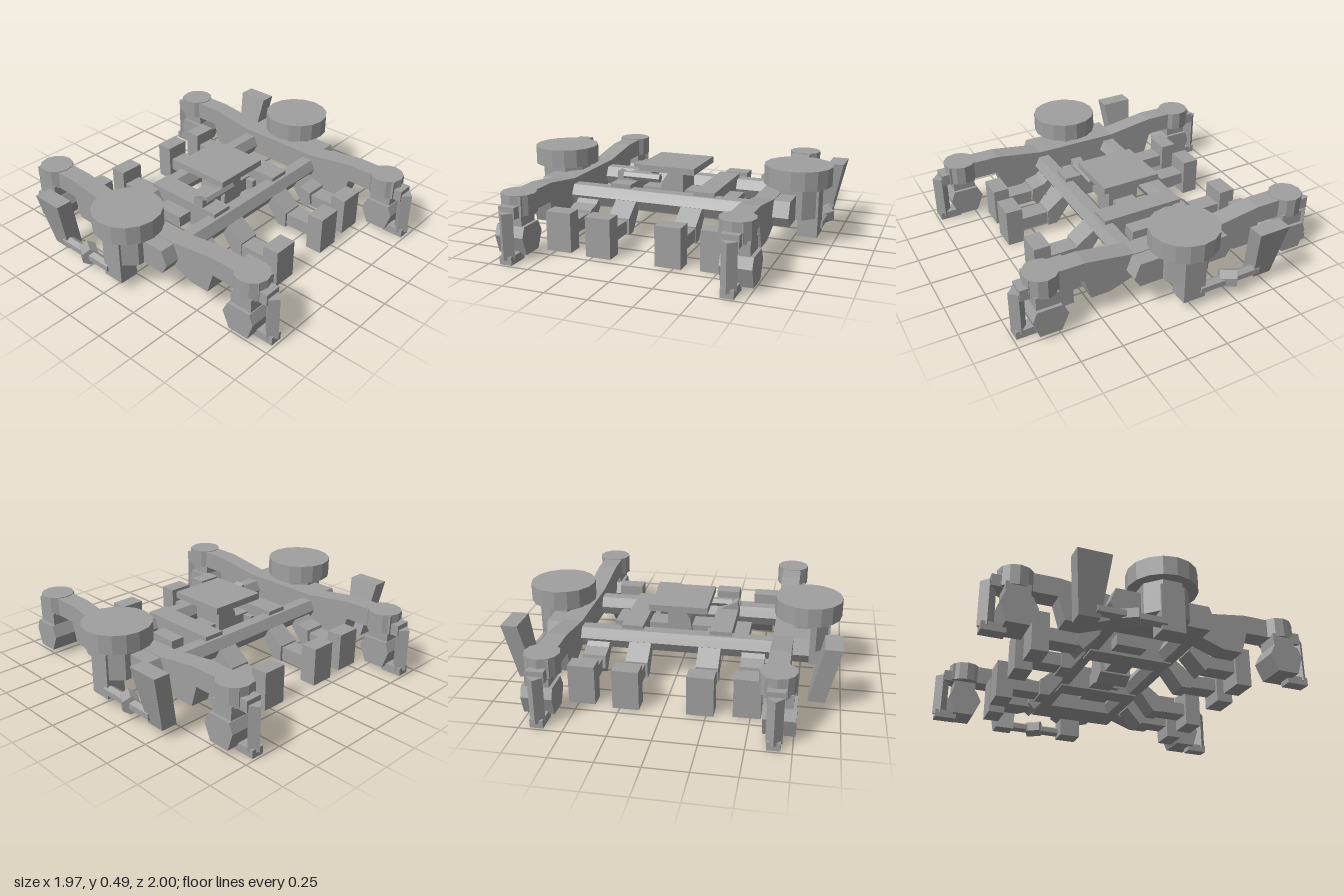
import * as THREE from 'three';

export function createModel() {
  const model = new THREE.Group();
  const castGrey = new THREE.MeshStandardMaterial({ color: 0xa0a0a0 });

  const add = (name, geo) => {
    const flat = geo.index ? geo.toNonIndexed() : geo;
    flat.computeVertexNormals();
    const mesh = new THREE.Mesh(flat, castGrey);
    mesh.name = name;
    model.add(mesh);
    return mesh;
  };
  // Box given by its limits on each axis
  const box = (name, x0, x1, y0, y1, z0, z1) => {
    const geo = new THREE.BoxGeometry(Math.abs(x1 - x0), y1 - y0, Math.abs(z1 - z0));
    return add(name, geo.translate((x0 + x1) / 2, (y0 + y1) / 2, (z0 + z1) / 2));
  };
  // Side profile of [z, y] points, extruded across x
  const profile = (name, points, x0, x1, sz = 1) => {
    const shape = new THREE.Shape(points.map(([z, y]) => new THREE.Vector2(z * sz, y)));
    const geo = new THREE.ExtrudeGeometry(shape, { depth: Math.abs(x1 - x0), bevelEnabled: false });
    return add(name, geo.rotateY(-Math.PI / 2).translate(Math.max(x0, x1), 0, 0));
  };
  // Upright faceted drum
  const drum = (name, x, z, radius, y0, y1, sides, turn = 0) => {
    const geo = new THREE.CylinderGeometry(radius, radius, y1 - y0, sides).rotateY(turn);
    return add(name, geo.translate(x, (y0 + y1) / 2, z));
  };

  // Side frame outline: raised ends, dropped shoulders and a low middle
  const half = [[0.9, 0.265], [0.9, 0.38], [0.57, 0.38], [0.27, 0.335]];
  const under = [[0.28, 0.18], [0.42, 0.13], [0.54, 0.13], [0.58, 0.265]];
  const flip = (pts) => pts.map(([z, y]) => [-z, y]).reverse();
  const frame = [...half, ...flip(half), ...flip(under), ...under];

  for (const sx of [-1, 1]) {
    profile('sideFrame', frame, sx * 0.585, sx * 0.705);
    // Outer saddle carrying the spring
    profile('springSaddle', [[0.32, 0.24], [0.285, 0.33], [-0.285, 0.33], [-0.32, 0.24],
      [-0.285, 0.18], [0.285, 0.18]], sx * 0.7, sx * 0.8);
    drum('springSeat', sx * 0.78, 0, 0.15, 0.18, 0.38, 8, Math.PI / 8);
    drum('airSpring', sx * 0.78, 0, 0.205, 0.37, 0.485, 16);
    box('springStop', sx * 0.8, sx * 0.92, 0.06, 0.34, -0.07, 0.07);

    // Damper lying along the outside, with its leaning bracket
    const rod = new THREE.CylinderGeometry(0.034, 0.034, 0.4, 6).rotateX(Math.PI / 2);
    add('damperRod', rod.translate(sx * 0.9, 0.11, -0.24));
    const sleeve = new THREE.CylinderGeometry(0.055, 0.055, 0.1, 6).rotateZ(Math.PI / 6).rotateX(Math.PI / 2);
    add('damperSleeve', sleeve.translate(sx * 0.895, 0.11, -0.24));
    const bracket = new THREE.BoxGeometry(0.1, 0.35, 0.2);
    const pos = bracket.attributes.position;
    for (let i = 0; i < pos.count; i++) {
      const top = pos.getY(i) > 0;
      pos.setX(i, pos.getX(i) + sx * (top ? 0.935 : 0.86));
      pos.setZ(i, pos.getZ(i) * (top ? 1 : 0.6));
    }
    add('damperBracket', bracket.translate(0, 0.235, -0.475));

    for (const sz of [-1, 1]) {
      // Axle box under each frame end
      drum('frameEnd', sx * 0.65, sz * 0.81, 0.103, 0.265, 0.385, 12);
      profile('axleBox', [[0.91, 0.14], [0.885, 0.2], [0.735, 0.2], [0.7, 0.13],
        [0.745, 0.03], [0.875, 0.03]], sx * 0.58, sx * 0.76, sz);
      box('axleBoxSpring', sx * 0.6, sx * 0.74, 0.19, 0.28, sz * 0.74, sz * 0.88);
      // Hanging guard at the outer end
      box('guardMount', sx * 0.6, sx * 0.7, 0.26, 0.33, sz * 0.89, sz * 0.95);
      const post = new THREE.CylinderGeometry(0.045, 0.045, 0.27, 4);
      add('guardPost', post.translate(sx * 0.65, 0.165, sz * 0.955));
      box('guardFoot', sx * 0.612, sx * 0.688, 0, 0.05, sz * 0.85, sz * 0.985);

      // Brake arms and shoes
      profile('innerArmRoot', [[0.27, 0.29], [0.31, 0.24], [0.42, 0.16], [0.42, 0.06],
        [0.36, 0.06], [0.27, 0.18]], sx * 0.145, sx * 0.28, sz);
      box('innerArm', sx * 0.16, sx * 0.275, 0.07, 0.15, sz * 0.4, sz * 0.61);
      box('innerShoe', sx * 0.137, sx * 0.293, 0, 0.24, sz * 0.595, sz * 0.7);
      profile('outerArmRoot', [[0.28, 0.24], [0.33, 0.2], [0.41, 0.18], [0.42, 0.1],
        [0.38, 0.06], [0.28, 0.17]], sx * 0.405, sx * 0.545, sz);
      box('outerArm', sx * 0.425, sx * 0.54, 0.08, 0.16, sz * 0.4, sz * 0.59);
      box('outerShoe', sx * 0.4, sx * 0.558, 0, 0.24, sz * 0.58, sz * 0.68);
    }

    // Rails joining the two cross beams
    box('centreRail', sx * 0.205, sx * 0.338, 0.17, 0.325, -0.26, 0.26);
  }

  // Six-sided cross beams
  for (const sz of [-1, 1]) {
    profile('crossBeam', [[0.18, 0.24], [0.21, 0.3], [0.28, 0.3], [0.312, 0.24],
      [0.28, 0.18], [0.21, 0.18]], -0.8, 0.8, sz);
  }

  // Centre pivot with its table and staggered side plates
  box('pivotTable', -0.18, 0.18, 0.4, 0.44, -0.19, 0.18);
  const column = new THREE.Shape([[-0.08, 0.17], [0, 0.125], [0.08, 0.17], [0.08, 0.41],
    [0, 0.41], [-0.06, 0.32]].map(([x, y]) => new THREE.Vector2(x, y)));
  add('pivotColumn', new THREE.ExtrudeGeometry(column, { depth: 0.2, bevelEnabled: false }).translate(0, 0, -0.1));
  box('pivotBlock', -0.21, 0.21, 0.18, 0.27, -0.07, 0.07);
  box('leftSidePlate', 0.17, 0.43, 0.19, 0.26, -0.06, 0.125);
  box('rightSidePlate', -0.43, -0.17, 0.19, 0.26, -0.13, 0.06);

  // Link reaching from one rail to the pivot
  const link = new THREE.CylinderGeometry(0.028, 0.028, 0.24, 6).rotateZ(Math.PI / 2);
  add('pivotLink', link.translate(-0.175, 0.352, 0.14));
  const lug = new THREE.Shape([[-0.335, 0.3], [-0.22, 0.3], [-0.22, 0.325], [-0.335, 0.38]]
    .map(([x, y]) => new THREE.Vector2(x, y)));
  add('linkLug', new THREE.ExtrudeGeometry(lug, { depth: 0.07, bevelEnabled: false }).translate(0, 0, 0.09));

  return model;
}
